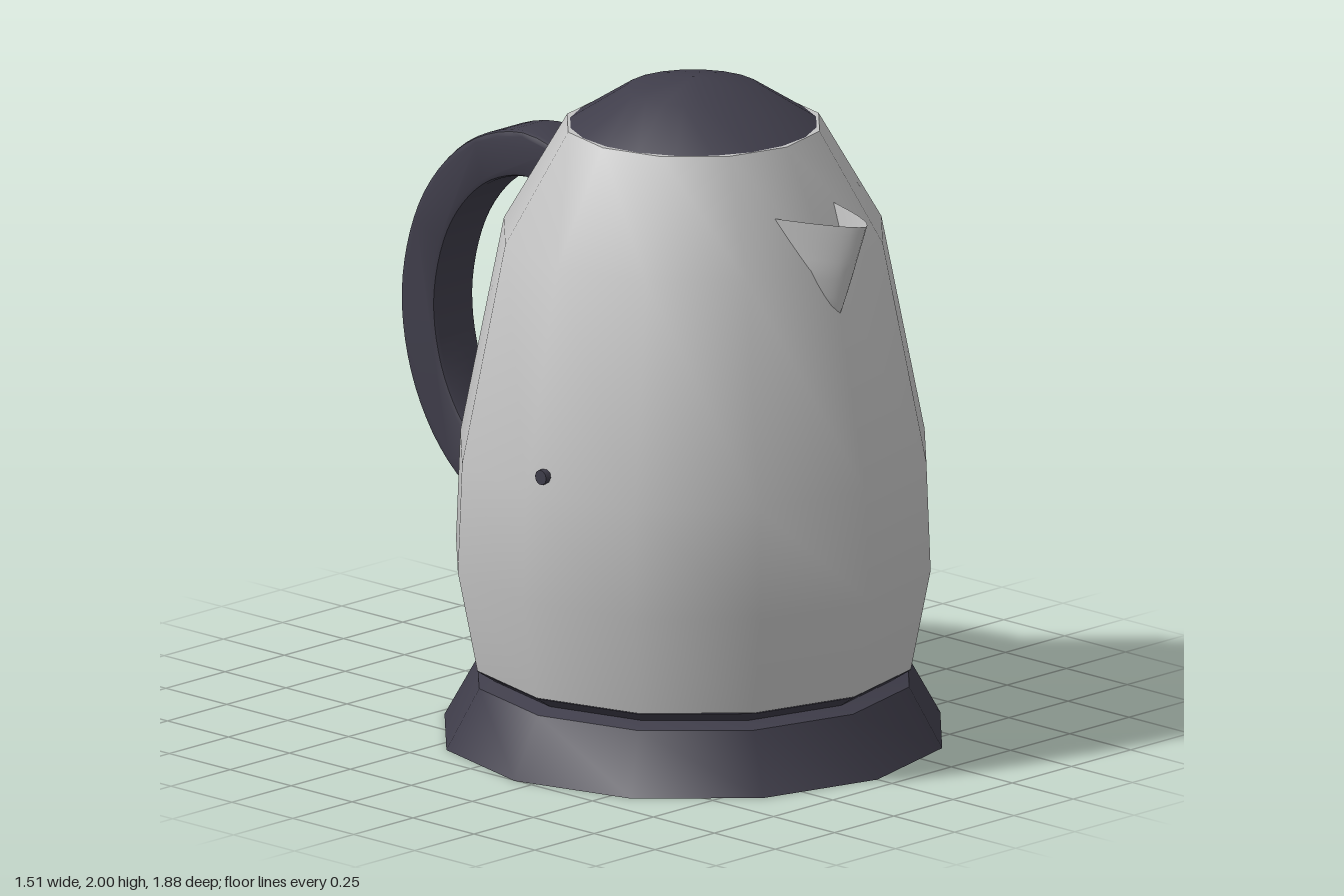
import * as THREE from 'three';
import { toCreasedNormals } from 'three/addons/utils/BufferGeometryUtils.js';

const CZ = 0.185; // z of the jug's axis

export function createModel() {
  const kettle = new THREE.Group();
  kettle.name = 'kettle';

  const steel = new THREE.MeshStandardMaterial({ color: 0xc4c4c4, side: THREE.DoubleSide });
  steel.name = 'brushed steel';
  const plastic = new THREE.MeshStandardMaterial({ color: 0x3f3d4a });
  plastic.name = 'dark plastic';

  const add = (name, geometry, material) => {
    const mesh = new THREE.Mesh(geometry, material);
    mesh.name = name;
    kettle.add(mesh);
    return mesh;
  };
  const lathe = (points, sides) => toCreasedNormals(
    new THREE.LatheGeometry(points.map(([r, y]) => new THREE.Vector2(r, y)), sides), 0.62);

  // Base plate, with a notch below the collar that carries the jug
  add('base', lathe([[0, 0], [0.755, 0], [0.655, 0.18], [0.605, 0.197], [0.66, 0.232], [0, 0.232]], 12), plastic)
    .position.z = CZ;

  // Twelve-sided jug
  const wall = [[0.66, 0.234], [0.72, 0.54], [0.707, 0.87], [0.575, 1.53], [0.383, 1.86]];
  add('body', lathe([[0, 0.234], ...wall, [0, 1.86]], 12), steel).position.z = CZ;

  // Domed lid
  add('lid', lathe([[0, 1.857], [0.371, 1.857], [0.2, 1.966], [0, 2]], 20), plastic).position.z = CZ;

  // Spout: open V-shaped sheet that narrows to a point at the bottom
  const wallRadius = (y) => {
    const i = Math.max(1, wall.findIndex((p) => p[1] >= y));
    const [[r0, y0], [r1, y1]] = [wall[i - 1], wall[i]];
    return r0 + (r1 - r0) * (y - y0) / (y1 - y0);
  };
  const rows = 10, cols = 16, position = [], index = [];
  for (let j = 0; j <= rows; j++) {
    const t = j / rows;
    const y = 1.39 + 0.29 * t;
    const halfWidth = 0.126 * Math.pow(t, 0.65);
    const front = 0.785 + 0.108 * t;
    const back = CZ + wallRadius(y) - halfWidth * 0.268 - 0.006;
    for (let i = 0; i <= cols; i++) {
      const s = (i / cols) * 2 - 1;
      position.push(s * halfWidth, y, front - (front - back) * Math.pow(Math.abs(s), 1.6));
      if (i < cols && j < rows) {
        const a = j * (cols + 1) + i, b = a + cols + 1;
        index.push(a, a + 1, b + 1, a, b + 1, b);
      }
    }
  }
  const spout = new THREE.BufferGeometry();
  spout.setAttribute('position', new THREE.Float32BufferAttribute(position, 3));
  spout.setIndex(index);
  spout.computeVertexNormals();
  add('spout', spout, steel);

  // Handle: band of constant thickness around a curve in the z-y plane
  const path = new THREE.CatmullRomCurve3([
    [-0.305, 1.632], [-0.44, 1.657], [-0.63, 1.592], [-0.79, 1.42], [-0.865, 1.17],
    [-0.84, 0.95], [-0.755, 0.775], [-0.64, 0.66], [-0.51, 0.6],
  ].map(([z, y]) => new THREE.Vector3(z, y, 0)));
  const outer = [], inner = [];
  for (let i = 0; i <= 36; i++) {
    const p = path.getPointAt(i / 36), d = path.getTangentAt(i / 36);
    outer.push(new THREE.Vector2(p.x + d.y * 0.07, p.y - d.x * 0.07));
    inner.push(new THREE.Vector2(p.x - d.y * 0.07, p.y + d.x * 0.07));
  }
  const band = new THREE.ExtrudeGeometry(new THREE.Shape([...outer, ...inner.reverse()]), {
    depth: 0.14, bevelEnabled: true, bevelThickness: 0.016, bevelSize: 0.016, bevelOffset: -0.016, bevelSegments: 2,
  });
  band.translate(0, 0, -0.07).rotateY(-Math.PI / 2);
  add('handle', toCreasedNormals(band, 0.7), plastic);

  // Small round pins on both sides
  for (const side of [1, -1]) {
    const pin = add(side > 0 ? 'leftPin' : 'rightPin', new THREE.CylinderGeometry(0.023, 0.023, 0.04, 10), plastic);
    pin.rotation.z = Math.PI / 2;
    pin.position.set(side * 0.673, 0.925, 0.235);
    pin.position.x = side * 0.676;
  }

  return kettle;
}
